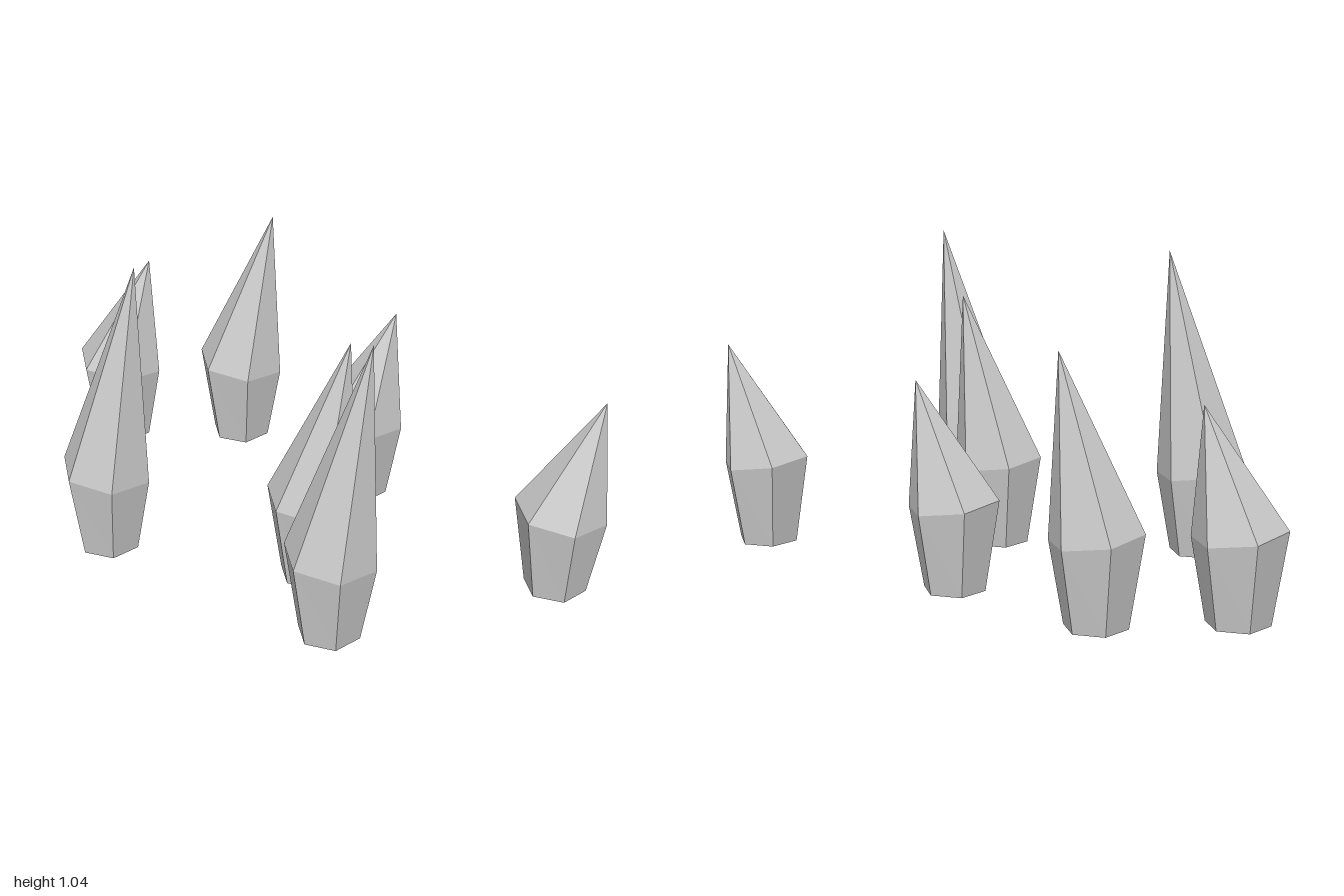
import * as THREE from 'three';

const RIM_Y = 0.289;

// Six-sided crystal: tapered base, slanted rim and an off-centre tip
function crystalGeometry(height) {
  const profile = [[0, 0], [0.104, 0], [0.153, RIM_Y], [0, height]].map(([r, y]) => new THREE.Vector2(r, y));
  const geometry = new THREE.LatheGeometry(profile, 6, Math.PI / 2);
  const p = geometry.attributes.position;
  for (let i = 0; i < p.count; i++) {
    const x = p.getX(i), y = p.getY(i), z = p.getZ(i);
    if (y > RIM_Y + 0.01) p.setXYZ(i, x + 0.086, y, z + 0.08);
    else if (y > 0.01) p.setY(i, y - 0.09 * (x + z));
  }
  geometry.computeVertexNormals();
  return geometry;
}

export function createModel() {
  const group = new THREE.Group();
  group.name = 'crystalCluster';
  const material = new THREE.MeshStandardMaterial({ color: 0xcccccc, flatShading: true });
  const geometries = [0.695, 0.868, 1.042].map(crystalGeometry);

  // Crystals from back to front, cycling through three heights
  const xs = [0.005, 0.337, -0.484, 0.394, -0.081, -0.258, 0.482];
  xs.forEach((x, i) => {
    const crystal = new THREE.Mesh(geometries[i % 3], material);
    crystal.name = `crystal${i + 1}`;
    crystal.position.set(x, 0, (i - 3) * 0.2893);
    group.add(crystal);
  });
  return group;
}
